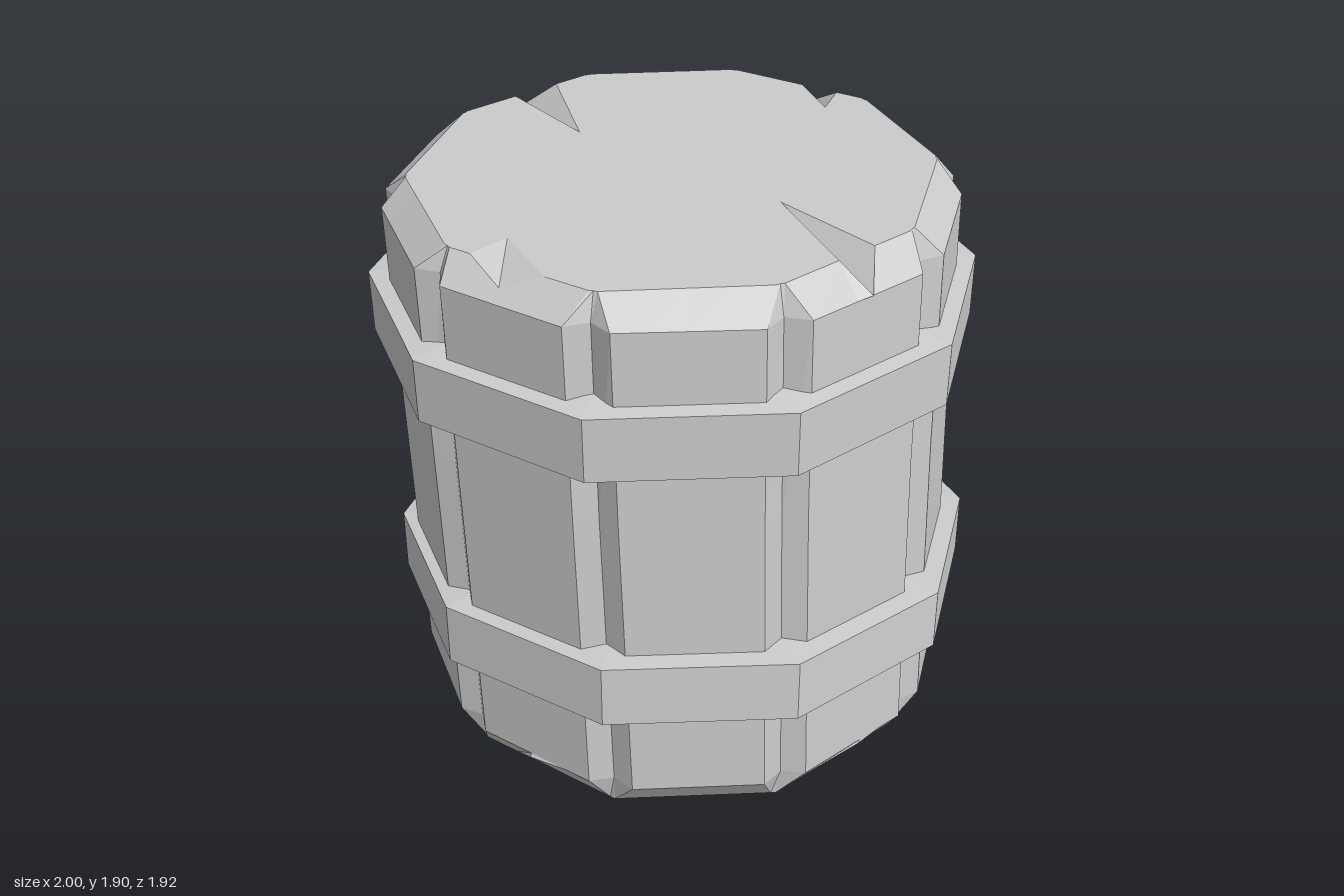
import * as THREE from 'three';

const SIDES = 10;
const STEP = (Math.PI * 2) / SIDES;

// Chips per plank index: tip and notch are [outward, sideways]; a and b are the chip's sides on the rim
const TOP_CHIPS = {
  1: { tip: [0.41, -0.086], a: -0.1, b: 0.04, notch: [0.89, -0.01] },
  3: { tip: [0.66, 0.14], a: -0.095, b: 0.17, notch: [0.845, 0.03] },
  6: { tip: [0.405, -0.064], a: -0.05, b: 0.12, notch: [0.885, 0.025] },
  8: { tip: [0.66, 0.18], a: 0.015, b: 0.15, notch: [0.876, 0.03] },
};
const BOTTOM_CHIPS = {
  1: { tip: [0.4, 0.03], a: -0.12, b: 0.12, notch: [0.9, -0.03] },
  3: { tip: [0.4, 0.0], a: -0.12, b: 0.14, notch: [0.9, 0.02] },
  6: { tip: [0.45, 0.03], a: -0.1, b: 0.1, notch: [0.9, 0.0] },
};

// Levels from the bottom centre up to the top centre:
// flat = plank distance, half = plank half width, groove = corner radius of the V groove
const LEVELS = [
  { kind: 'inner', flat: 0, half: 0, groove: 0, y: 0, cx: 0.01, cz: 0, chips: BOTTOM_CHIPS },
  { kind: 'inner', flat: 0.41, half: 0.125, groove: 0.434, y: 0, cx: 0.01, cz: 0, chips: BOTTOM_CHIPS, tip: true },
  { kind: 'rim', flat: 0.825, half: 0.25, groove: 0.867, y: 0, cx: 0.01, cz: 0, chips: BOTTOM_CHIPS, slope: 1.3 },
  { kind: 'side', flat: 0.9, half: 0.215, groove: 0.885, y: 0.11, cx: 0.015, cz: -0.005, chips: BOTTOM_CHIPS },
  { kind: 'side', flat: 0.888, half: 0.215, groove: 0.875, y: 1.15, cx: -0.01, cz: -0.015, chips: TOP_CHIPS },
  { kind: 'side', flat: 0.885, half: 0.215, groove: 0.862, y: 1.8, cx: -0.02, cz: -0.025, chips: TOP_CHIPS },
  { kind: 'rim', flat: 0.795, half: 0.245, groove: 0.83, y: 1.887, cx: -0.02, cz: -0.022, chips: TOP_CHIPS, slope: -0.95, lean: 0.013 },
  { kind: 'inner', flat: 0.4, half: 0.125, groove: 0.418, y: 1.887, cx: -0.02, cz: -0.022, chips: TOP_CHIPS, tip: true, lean: 0.013 },
  { kind: 'inner', flat: 0, half: 0, groove: 0, y: 1.887, cx: -0.02, cz: -0.022, chips: TOP_CHIPS, lean: 0.013 },
];

// One closed ring: per plank two edges, three chip columns and the groove
function makeRing(level) {
  const ring = [];
  for (let i = 0; i < SIDES; i++) {
    const angle = (i + 0.5) * STEP;
    const chip = level.chips[i];
    const { flat, half } = level;
    const add = (out, side, dy = 0) => {
      const x = level.cx + Math.cos(angle) * out - Math.sin(angle) * side;
      const z = level.cz + Math.sin(angle) * out + Math.cos(angle) * side;
      ring.push(new THREE.Vector3(x, level.y + dy + (level.lean || 0) * x, z));
    };
    add(flat, -half);
    if (chip && level.tip) {
      for (let k = 0; k < 3; k++) add(...chip.tip);
    } else if (chip && level.kind === 'rim') {
      add(flat, chip.a);
      add(chip.notch[0], chip.notch[1], (chip.notch[0] - flat) * level.slope);
      add(flat, chip.b);
    } else if (chip && level.kind === 'side') {
      [chip.a, chip.notch[1], chip.b].forEach((s) => add(flat, s));
    } else {
      [-0.5, 0, 0.5].forEach((s) => add(flat, half * s));
    }
    add(flat, half);
    add(level.groove * Math.cos(STEP / 2), level.groove * Math.sin(STEP / 2));
  }
  return ring;
}

// Skin the stacked rings with flat triangles
function makeBodyGeometry() {
  const rings = LEVELS.map(makeRing);
  const positions = [];
  const triangle = (a, b, c) => {
    if (new THREE.Triangle(a, b, c).getArea() < 1e-7) return;
    for (const p of [a, b, c]) positions.push(p.x, p.y, p.z);
  };
  for (let r = 0; r < rings.length - 1; r++) {
    const low = rings[r], high = rings[r + 1];
    for (let i = 0; i < low.length; i++) {
      const j = (i + 1) % low.length;
      triangle(low[i], high[i], low[j]);
      triangle(high[i], high[j], low[j]);
    }
  }
  const geometry = new THREE.BufferGeometry();
  geometry.setAttribute('position', new THREE.Float32BufferAttribute(positions, 3));
  geometry.computeVertexNormals();
  return geometry;
}

// Ten-sided band with slightly sloping upper and lower faces
function makeHoop(name, material) {
  const profile = [[0.84, -0.125], [0.985, -0.105], [0.985, 0.105], [0.84, 0.125]]
    .map(([r, y]) => new THREE.Vector2(r, y));
  const geometry = new THREE.LatheGeometry(profile, SIDES, Math.PI / 2).toNonIndexed();
  geometry.computeVertexNormals();
  const hoop = new THREE.Mesh(geometry, material);
  hoop.name = name;
  return hoop;
}

export function createModel() {
  const group = new THREE.Group();
  group.name = 'barrel';
  const grey = new THREE.MeshStandardMaterial({ color: 0xcccccc, flatShading: true });
  grey.name = 'plainGrey';

  const body = new THREE.Mesh(makeBodyGeometry(), grey);
  body.name = 'barrelBody';

  const upper = makeHoop('upperHoop', grey);
  upper.position.set(-0.015, 1.44, -0.02);
  upper.rotation.set(-0.016, 0, 0.003);

  const lower = makeHoop('lowerHoop', grey);
  lower.position.set(0.015, 0.49, 0.015);
  lower.rotation.set(-0.075, 0, -0.005);

  group.add(body, upper, lower);
  return group;
}
